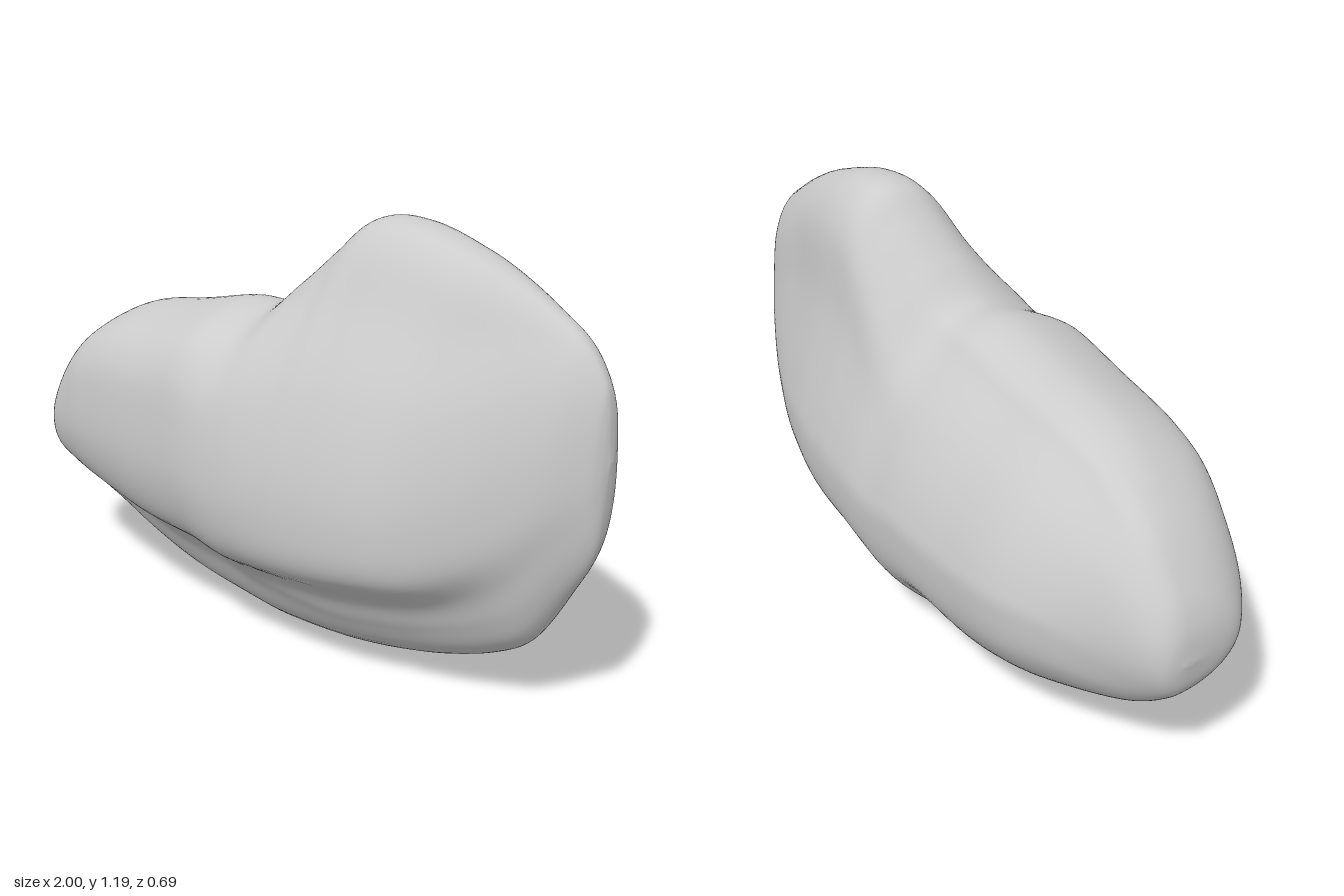
import * as THREE from 'three';
import { mergeVertices } from 'three/addons/utils/BufferGeometryUtils.js';

const V = (x, y, z) => new THREE.Vector3(x, y, z);

// Stations along the stone: x, top, bottom, front z, back z
const STATIONS = [
  [-1, 0.40, 0.40, -0.04, -0.06],
  [-0.985, 0.49, 0.32, 0.09, -0.11],
  [-0.94, 0.575, 0.265, 0.16, -0.15],
  [-0.84, 0.69, 0.19, 0.23, -0.20],
  [-0.7, 0.785, 0.125, 0.27, -0.27],
  [-0.55, 0.845, 0.075, 0.295, -0.32],
  [-0.35, 0.88, 0.03, 0.32, -0.335],
  [-0.15, 0.92, 0.008, 0.335, -0.345],
  [-0.01, 0.93, 0, 0.34, -0.345],
  [0.1, 1.025, 0.004, 0.34, -0.345],
  [0.2, 1.115, 0.012, 0.335, -0.34],
  [0.29, 1.18, 0.023, 0.33, -0.335],
  [0.43, 1.18, 0.048, 0.315, -0.32],
  [0.58, 1.14, 0.085, 0.27, -0.285],
  [0.72, 1.09, 0.135, 0.175, -0.245],
  [0.82, 1.04, 0.20, 0.105, -0.21],
  [0.91, 0.98, 0.34, 0.05, -0.165],
  [0.97, 0.90, 0.45, 0.0, -0.12],
  [0.99, 0.83, 0.54, -0.025, -0.09],
  [1, 0.7, 0.7, -0.05, -0.06],
];

// Cross-sections, bottom > front > top > back: height 0..1, depth -1..1
const LOW_END = [
  [0, 0], [0.05, 0.3], [0.17, 0.48], [0.24, 0.62], [0.33, 0.88], [0.48, 1],
  [0.66, 1], [0.82, 0.92], [0.93, 0.7], [1, 0.25], [0.97, -0.1], [0.9, -0.3],
  [0.78, -0.6], [0.65, -0.82], [0.52, -0.96], [0.42, -1], [0.25, -0.9], [0.1, -0.55],
];
const HIGH_END = [
  [0, 0], [0.03, 0.3], [0.1, 0.48], [0.17, 0.62], [0.25, 0.93], [0.36, 1],
  [0.5, 0.95], [0.66, 0.78], [0.82, 0.5], [0.95, 0.28], [1, 0.05], [0.98, -0.3],
  [0.88, -0.58], [0.68, -0.7], [0.45, -0.93], [0.33, -1], [0.2, -0.9], [0.08, -0.55],
];
const OVAL = LOW_END.map((_, i) => {
  const a = (i / LOW_END.length) * Math.PI * 2;
  return [0.5 - 0.5 * Math.cos(a), Math.sin(a)];
});

const section = (pts) => new THREE.CatmullRomCurve3(
  pts.map(([v, w]) => V(w, v, 0)), true, 'catmullrom', 0.5);
const along = (pts) => new THREE.CatmullRomCurve3(pts, false, 'catmullrom', 0.5);

function stoneGeometry(rings = 150, sides = 120) {
  const outline = along(STATIONS.map(([x, t, b]) => V(x, t, b)));
  const depth = along(STATIONS.map(([x, , , f, k]) => V(x, f, k)));
  const [low, high, oval] = [LOW_END, HIGH_END, OVAL].map(section);
  const positions = [], index = [];
  const core = -0.05;

  for (let i = 0; i <= rings; i++) {
    const { x, y: top, z: bottom } = outline.getPoint(i / rings);
    const { y: front, z: back } = depth.getPoint(i / rings);
    const rise = THREE.MathUtils.smoothstep(x, -0.15, 0.35);
    const round = Math.max(THREE.MathUtils.smoothstep(-x, 0.65, 1),
      0.8 * THREE.MathUtils.smoothstep(x, 0.6, 1));
    for (let j = 0; j < sides; j++) {
      const u = j / sides;
      const p = low.getPoint(u).lerp(high.getPoint(u), rise).lerp(oval.getPoint(u), round);
      const y = bottom + p.y * (top - bottom);
      let z = core + p.x * (p.x > 0 ? front - core : core - back);
      // Two shallow dents low on the back
      if (z < core) {
        for (const dx of [-0.22, 0.2]) {
          z += 0.05 * Math.exp(-(((x - dx) / 0.1) ** 2) - ((y - 0.13) / 0.07) ** 2);
        }
      }
      positions.push(x, y, z);
      if (i < rings) {
        const k = (j + 1) % sides;
        const a = i * sides + j, d = i * sides + k;
        index.push(a, a + sides, d + sides, a, d + sides, d);
      }
    }
  }

  let geometry = new THREE.BufferGeometry();
  geometry.setAttribute('position', new THREE.Float32BufferAttribute(positions, 3));
  geometry.setIndex(index);
  geometry = mergeVertices(geometry, 1e-5);
  geometry.computeVertexNormals();
  return geometry;
}

export function createModel() {
  const group = new THREE.Group();
  group.name = 'boulder';
  const stone = new THREE.Mesh(stoneGeometry(),
    new THREE.MeshStandardMaterial({ color: 0xcccccc }));
  stone.name = 'stone';
  group.add(stone);
  return group;
}
